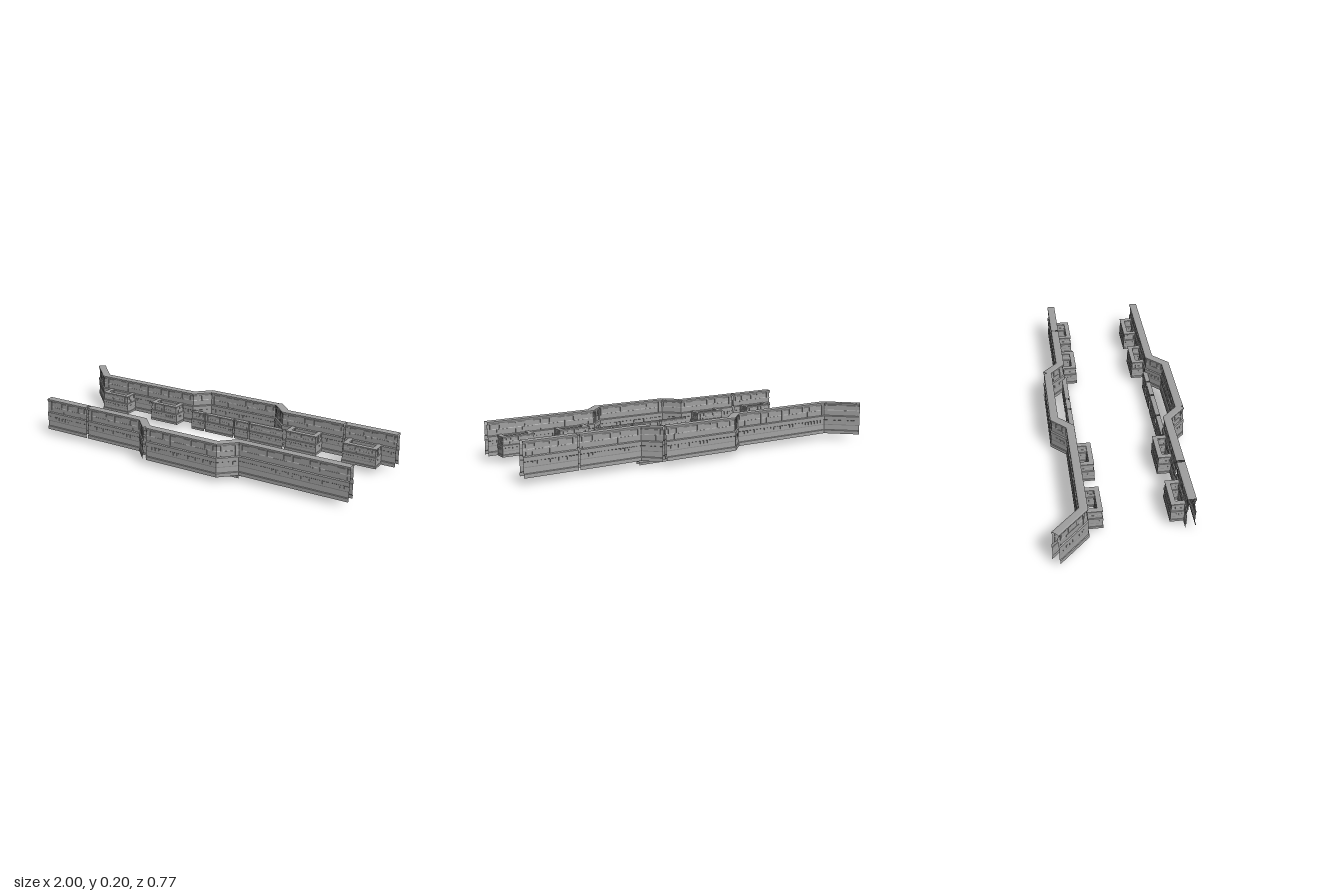
import * as THREE from 'three';
import { mergeGeometries } from 'three/addons/utils/BufferGeometryUtils.js';

// Half of the wall section: [half width, height above the wall's foot]
const HALF = [
  [0.025, 0], [0.0245, 0.018], [0.0215, 0.021], [0.02, 0.048], [0.021, 0.052], [0.0205, 0.075],
  [0.0225, 0.077], [0.0225, 0.098], [0.0165, 0.102], [0.0165, 0.13], [0.0145, 0.134],
  [0.0145, 0.155], [0.021, 0.168], [0.021, 0.173], [0.013, 0.175],
];
const PROFILE = [...HALF.map(([w, h]) => [-w, h]), ...HALF.slice().reverse()];

export function createModel() {
  const model = new THREE.Group();
  const stone = new THREE.MeshStandardMaterial({ color: 0xa0a0a0, side: THREE.DoubleSide });
  stone.name = 'grey stone';
  stone.flatShading = true;

  // Sweep the section along a mitred ground path; ends and foot stay open
  function wallShell(path, s, y0) {
    const dirs = path.slice(1).map(([x, z], i) =>
      new THREE.Vector2(x - path[i][0], z - path[i][1]).normalize());
    const pos = [], index = [], n = PROFILE.length;
    path.forEach(([x, z], i) => {
      const a = dirs[Math.max(i - 1, 0)], b = dirs[Math.min(i, dirs.length - 1)];
      const side = new THREE.Vector2(-a.y - b.y, a.x + b.x).normalize();
      const k = s / (side.x * -a.y + side.y * a.x);
      for (const [w, h] of PROFILE) pos.push(x + side.x * w * k, y0 + h * s, z + side.y * w * k);
    });
    for (let i = 0; i < path.length - 1; i++) {
      for (let j = 0; j < n - 1; j++) {
        const a = i * n + j, b = a + n;
        index.push(a, a + 1, b, b, a + 1, b + 1);
      }
    }
    const g = new THREE.BufferGeometry();
    g.setAttribute('position', new THREE.Float32BufferAttribute(pos, 3));
    g.setIndex(index);
    const flat = g.toNonIndexed();
    flat.computeVertexNormals();
    return flat;
  }

  // Relief on both faces of one straight run: dentils, ribs and panels
  function wallRelief(p, q, s, y0) {
    const parts = [];
    const dx = q[0] - p[0], dz = q[1] - p[1], len = Math.hypot(dx, dz) / s;
    const place = new THREE.Matrix4().makeRotationY(-Math.atan2(dz, dx));
    place.scale(new THREE.Vector3(s, s, s)).setPosition((p[0] + q[0]) / 2, y0, (p[1] + q[1]) / 2);
    const block = (u, h, w, tall, out, deep) => {
      for (const side of [1, -1]) {
        const g = new THREE.BoxGeometry(w, tall, deep);
        g.translate(u, h, side * (out - deep / 2));
        parts.push(g.applyMatrix4(place));
      }
    };
    const usable = len - 0.04;
    // Teeth hanging below the projecting band
    const teeth = Math.max(1, Math.round(usable / 0.022));
    for (let i = 0; i < teeth; i++) {
      block(((i + 0.5) / teeth - 0.5) * usable, 0.0685, 0.012, 0.016, 0.0225, 0.0025);
    }
    // Ribs between bays, a small upper panel and a broad lower one in each
    const bays = Math.max(1, Math.round(usable / 0.13)), bay = usable / bays;
    for (let i = 0; i <= bays; i++) {
      block((i / bays - 0.5) * usable, 0.133, 0.01, 0.062, 0.0185, 0.0045);
    }
    for (let i = 0; i < bays; i++) {
      const u = ((i + 0.5) / bays - 0.5) * usable;
      block(u, 0.148, bay * 0.34, 0.028, 0.0175, 0.0035);
      block(u, 0.117, bay * 0.55, 0.028, 0.0185, 0.0025);
    }
    return parts;
  }

  function addWall(name, path, s = 1, y0 = 0.03) {
    const group = new THREE.Group();
    group.name = name;
    const body = new THREE.Mesh(wallShell(path, s, y0), stone);
    body.name = name + 'Shell';
    const relief = [];
    for (let i = 0; i < path.length - 1; i++) relief.push(...wallRelief(path[i], path[i + 1], s, y0));
    const trim = new THREE.Mesh(mergeGeometries(relief), stone);
    trim.name = name + 'Relief';
    group.add(body, trim);
    model.add(group);
  }

  // Tall back wall with its splayed end and outward bay
  addWall('backWallRight', [[-0.981, -0.367], [-0.835, -0.225], [-0.215, -0.225], [-0.14, -0.3], [0.275, -0.3]]);
  addWall('backWallCorner', [[0.281, -0.31], [0.365, -0.225], [0.712, -0.225]]);
  addWall('backWallLeft', [[0.72, -0.225], [1, -0.225]]);

  // Tall front wall with the matching bay
  addWall('frontWallRight', [[-0.84, 0.279], [-0.568, 0.279]]);
  addWall('frontWallCorner', [[-0.558, 0.279], [-0.205, 0.279], [-0.118, 0.367]]);
  addWall('frontWallLeft', [[-0.117, 0.358], [0.295, 0.358], [0.375, 0.279], [0.97, 0.279]]);

  // Low three-sided enclosures on the inner faces
  const enclosures = (name, spans, zWall, zInner) => spans.forEach(([a, b]) =>
    addWall(name, [[a + 0.014, zWall], [a + 0.014, zInner], [b - 0.014, zInner], [b - 0.014, zWall]], 0.6));
  enclosures('backEnclosure', [[-0.79, -0.612], [-0.447, -0.27], [0.415, 0.595], [0.74, 0.925]], -0.21, -0.142);
  enclosures('frontEnclosure', [[-0.79, -0.612], [-0.44, -0.26], [0.425, 0.605], [0.74, 0.92]], 0.265, 0.204);

  // Low dividing walls that close off the bays
  const dividers = (name, spans, z) => spans.forEach(([a, b]) => addWall(name, [[a, z], [b, z]], 0.6, 0));
  dividers('backDivider', [[-0.21, -0.125], [-0.119, 0.063], [0.069, 0.157], [0.163, 0.37]], -0.205);
  dividers('frontDivider', [[-0.22, -0.055], [-0.047, 0.132], [0.14, 0.263], [0.271, 0.37]], 0.26);

  return model;
}
